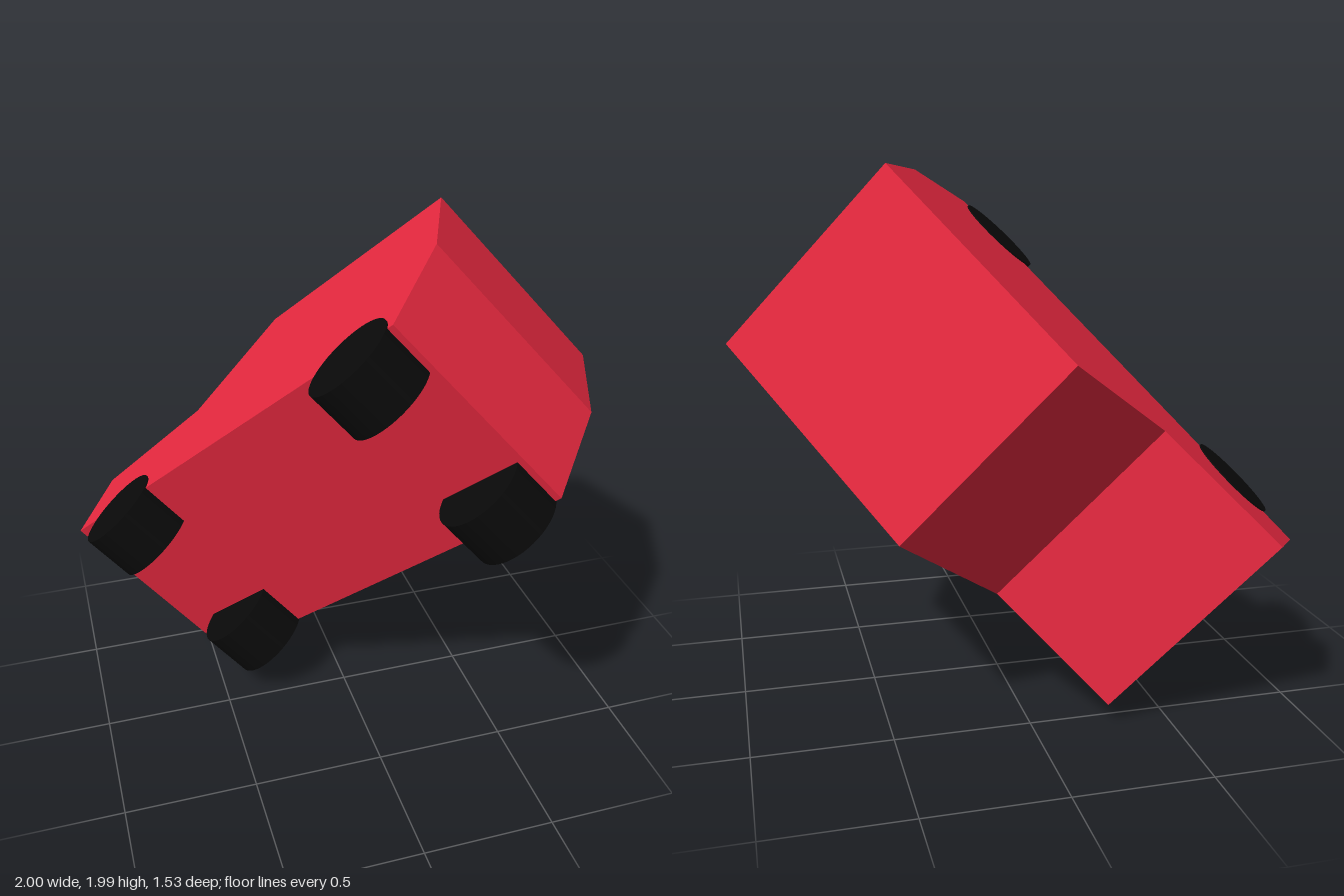
import * as THREE from 'three';

const WIDTH = 0.855;

export function createModel() {
  const paint = new THREE.MeshStandardMaterial({ color: 0xe92940 });
  const rubber = new THREE.MeshStandardMaterial({ color: 0x0a0a0a });
  const car = new THREE.Group();
  car.name = 'car';

  // Body: side profile (x forward, y towards the roof) extruded across the width
  const profile = [
    [0, 0], [1.86, 0], [1.857, 0.315], [1.3, 0.432],
    [1.012, 0.858], [0.049, 0.858], [-0.059, 0.427],
  ].map(([x, y]) => new THREE.Vector2(x, y));
  const bodyGeometry = new THREE.ExtrudeGeometry(new THREE.Shape(profile), {
    depth: WIDTH, bevelEnabled: false,
  });
  bodyGeometry.translate(0, 0, -WIDTH / 2);
  const body = new THREE.Mesh(bodyGeometry, paint);
  body.name = 'body';
  car.add(body);

  // Wheels: plain cylinders, outer faces just proud of the body sides
  const depth = 0.21;
  const wheelGeometry = new THREE.CylinderGeometry(0.173, 0.173, depth, 48).rotateX(Math.PI / 2);
  for (const [end, x] of [['rear', 0.196], ['front', 1.547]]) {
    for (const [side, s] of [['Left', -1], ['Right', 1]]) {
      const wheel = new THREE.Mesh(wheelGeometry, rubber);
      wheel.name = `${end}Wheel${side}`;
      wheel.position.set(x, -0.031, s * (WIDTH / 2 + 0.005 - depth / 2));
      car.add(wheel);
    }
  }

  // Tilt the whole car: nose down, rolled onto one side
  const forward = new THREE.Vector3(-0.543, -0.645, -0.538).normalize();
  const across = new THREE.Vector3(0.645, -0.733, 0.217);
  const up = new THREE.Vector3().crossVectors(across, forward).normalize();
  across.crossVectors(forward, up);
  car.quaternion.setFromRotationMatrix(new THREE.Matrix4().makeBasis(forward, up, across));
  car.position.set(0.29, 1.512, 0.588);

  const model = new THREE.Group();
  model.name = 'model';
  model.add(car);
  return model;
}
